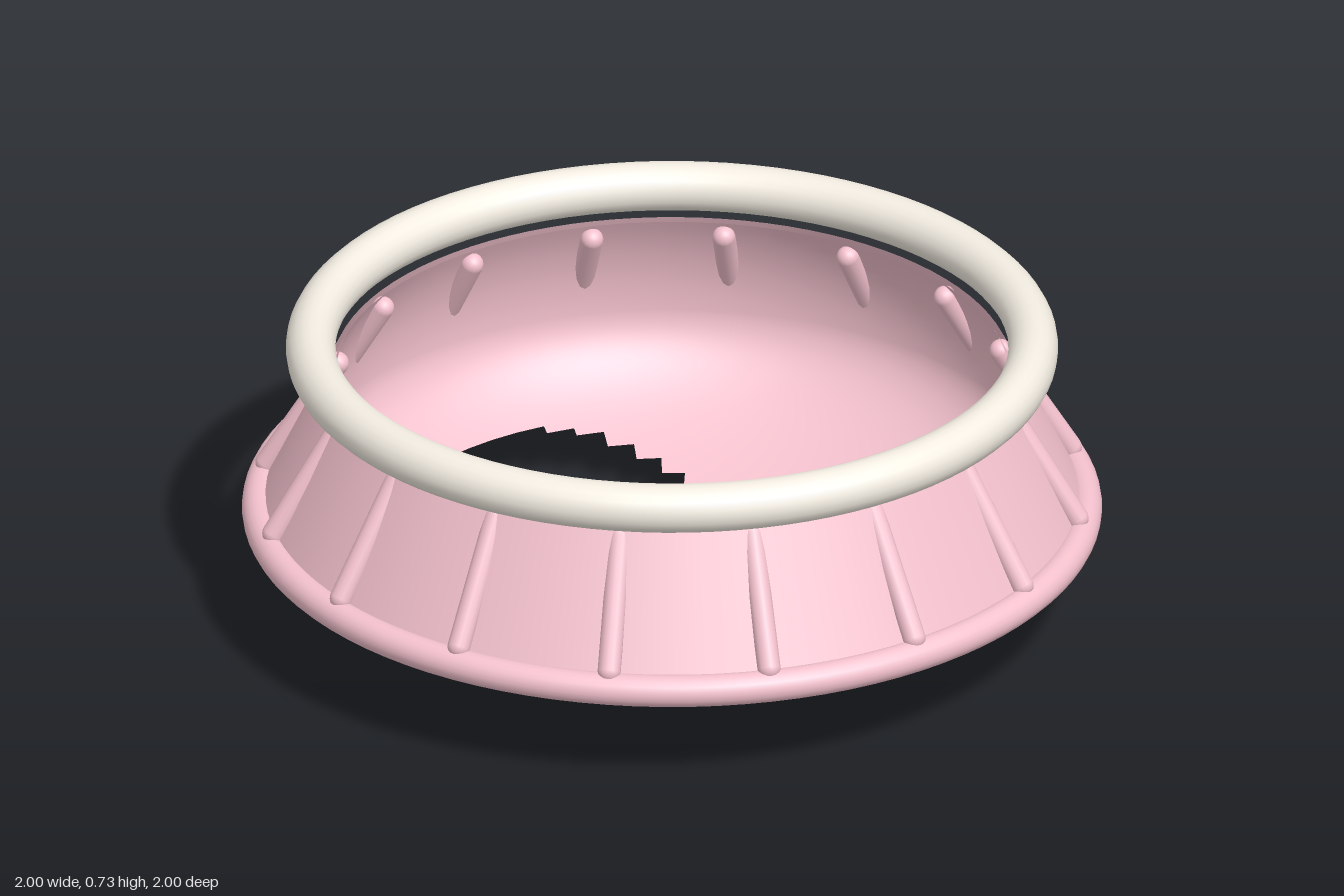
import * as THREE from 'three';

const pink = new THREE.MeshStandardMaterial({ color: 0xf4c2ce, side: THREE.DoubleSide });
const cream = new THREE.MeshStandardMaterial({ color: 0xf3ede2 });

function add(parent, name, geometry, material) {
  const mesh = new THREE.Mesh(geometry, material);
  mesh.name = name;
  parent.add(mesh);
  return mesh;
}

function ring(parent, name, radius, tube, y, material) {
  const mesh = add(parent, name, new THREE.TorusGeometry(radius, tube, 20, 96), material);
  mesh.rotation.x = Math.PI / 2;
  mesh.position.y = y;
}

// Leg opening on each side: an oval narrowed by radial edges toward the middle
function inLegHole(x, z) {
  const ax = Math.abs(x);
  return Math.abs(Math.atan2(z, ax)) < 0.68 && ((ax - 0.41) / 0.295) ** 2 + (z / 0.325) ** 2 < 1;
}

// Rounded bowl: flat lower half-ellipse, then a wall that leans in to the rim
function bowlGeometry() {
  const R = 0.86, low = 0.34, high = 0.64, profile = [];
  for (let i = 0; i <= 44; i++) {
    const t = (i / 44) * Math.PI / 2;
    profile.push(new THREE.Vector2(R * Math.sin(t), low * (1 - Math.cos(t))));
  }
  for (let i = 1; i <= 10; i++) {
    const t = (i / 10) * 0.43;
    profile.push(new THREE.Vector2(R * Math.cos(t), low + high * Math.sin(t)));
  }
  const geometry = new THREE.LatheGeometry(profile, 64);
  const pos = geometry.attributes.position, index = geometry.index.array, kept = [];
  // Drop the grid cells whose centre lies in a leg opening
  for (let i = 0; i < index.length; i += 6) {
    const cell = [...index.slice(i, i + 6)];
    const corners = [...new Set(cell)];
    const mean = (get) => corners.reduce((sum, k) => sum + get(k), 0) / corners.length;
    const x = mean((k) => pos.getX(k)), y = mean((k) => pos.getY(k)), z = mean((k) => pos.getZ(k));
    if (y > low || !inLegHole(x, z)) kept.push(...cell);
  }
  geometry.setIndex(kept);
  return geometry;
}

export function createModel() {
  const model = new THREE.Group();
  model.name = 'seatWithLegHoles';

  add(model, 'seatBowl', bowlGeometry(), pink);

  // Flared skirt, open at both ends
  const skirt = add(model, 'flaredSkirt',
    new THREE.CylinderGeometry(0.79, 0.96, 0.355, 96, 1, true), pink);
  skirt.position.y = 0.4375;

  ring(model, 'hemRing', 0.962, 0.038, 0.258, pink);
  ring(model, 'topRing', 0.84, 0.058, 0.672, cream);

  // Sixteen round-ended ribs running down the skirt
  const top = new THREE.Vector2(0.787, 0.57), bottom = new THREE.Vector2(0.953, 0.3);
  const lean = Math.atan2(bottom.x - top.x, top.y - bottom.y);
  const ribGeometry = new THREE.CapsuleGeometry(0.027, top.distanceTo(bottom), 6, 14);
  ribGeometry.rotateZ(lean);
  ribGeometry.translate((top.x + bottom.x) / 2, (top.y + bottom.y) / 2, 0);
  const ribs = new THREE.Group();
  ribs.name = 'skirtRibs';
  for (let i = 0; i < 16; i++) {
    add(ribs, 'rib', ribGeometry, pink).rotation.y = (i / 16) * Math.PI * 2;
  }
  model.add(ribs);

  return model;
}
